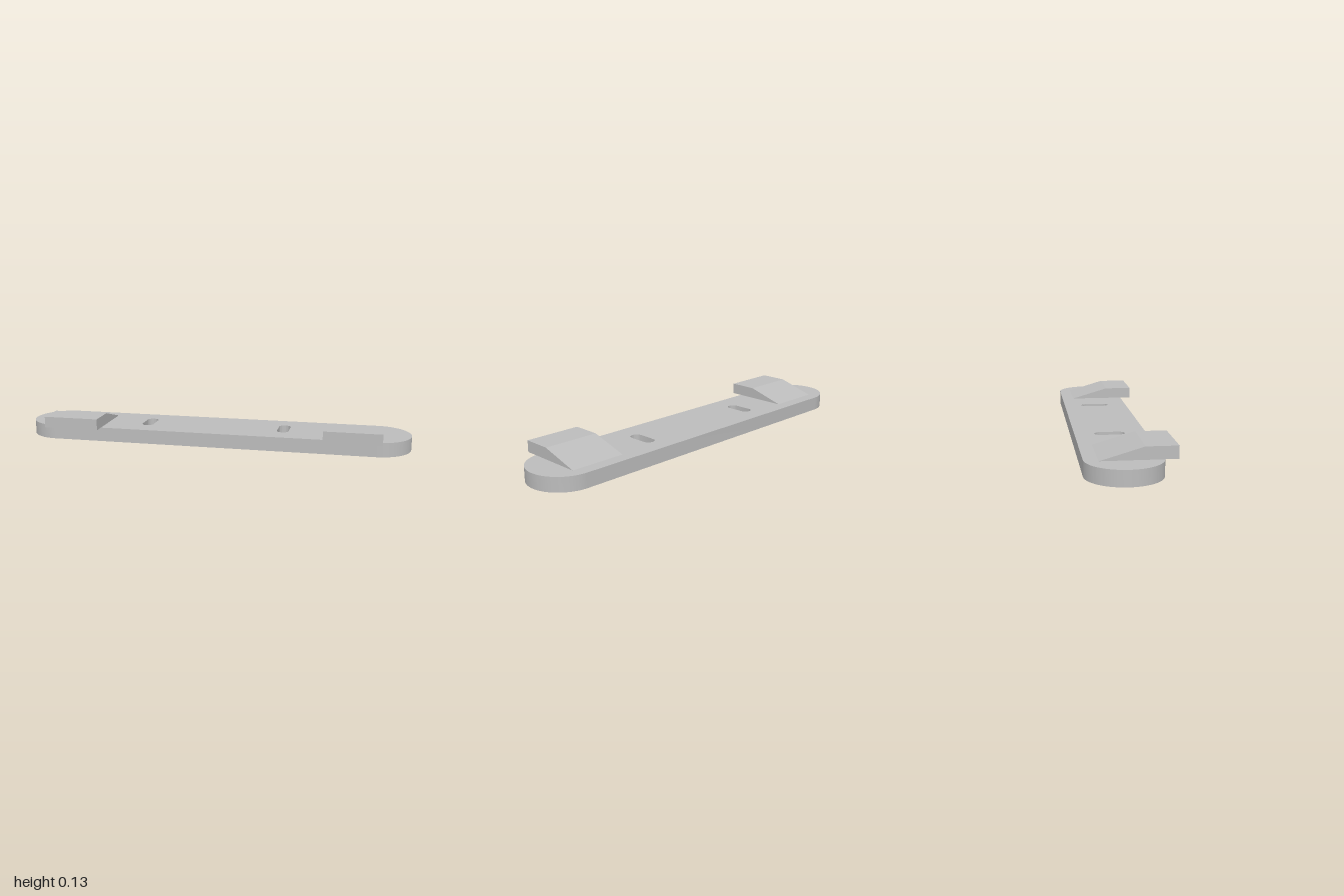
import * as THREE from 'three';
import { toCreasedNormals } from 'three/addons/utils/BufferGeometryUtils.js';

// Stadium outline with half-straights hx, hy and end radius r
function roundedOutline(path, cx, cy, hx, hy, r) {
  path.absarc(cx + hx, cy + hy, r, 0, Math.PI / 2, false);
  path.absarc(cx - hx, cy + hy, r, Math.PI / 2, Math.PI, false);
  path.absarc(cx - hx, cy - hy, r, Math.PI, Math.PI * 1.5, false);
  path.absarc(cx + hx, cy - hy, r, Math.PI * 1.5, Math.PI * 2, false);
  path.closePath();
  return path;
}

export function createModel() {
  const model = new THREE.Group();
  model.name = 'mountingBar';
  const grey = new THREE.MeshStandardMaterial({ color: 0xbcbcbc });
  grey.name = 'plain grey';

  // Bar with round ends and two through slots
  const outline = roundedOutline(new THREE.Shape(), 0, 0.0285, 0.8285, 0, 0.1715);
  for (const side of [-1, 1]) {
    outline.holes.push(roundedOutline(new THREE.Path(), side * 0.358, 0.032, 0, 0.043, 0.03));
  }
  const barGeometry = new THREE.ExtrudeGeometry(outline, { depth: 0.072, bevelEnabled: false, curveSegments: 16 });
  barGeometry.rotateX(-Math.PI / 2);
  const bar = new THREE.Mesh(toCreasedNormals(barGeometry, 0.5), grey);
  bar.name = 'bar';
  model.add(bar);

  // Wedge profile: x is the depth (front positive), y is the height
  const profile = new THREE.Shape([
    new THREE.Vector2(-0.137, 0.072),
    new THREE.Vector2(0.2, 0.072),
    new THREE.Vector2(0.2, 0.129),
    new THREE.Vector2(0.057, 0.129),
  ]);
  const wedgeGeometry = new THREE.ExtrudeGeometry(profile, { depth: 0.284, bevelEnabled: false });
  wedgeGeometry.translate(0, 0, -0.142);
  wedgeGeometry.rotateY(-Math.PI / 2);
  const softWedge = toCreasedNormals(wedgeGeometry, 0.25);

  // Two wedges overhanging the front edge
  for (const [name, x] of [['rightWedge', -0.716], ['leftWedge', 0.716]]) {
    const wedge = new THREE.Mesh(softWedge, grey);
    wedge.name = name;
    wedge.position.x = x;
    model.add(wedge);
  }
  return model;
}
